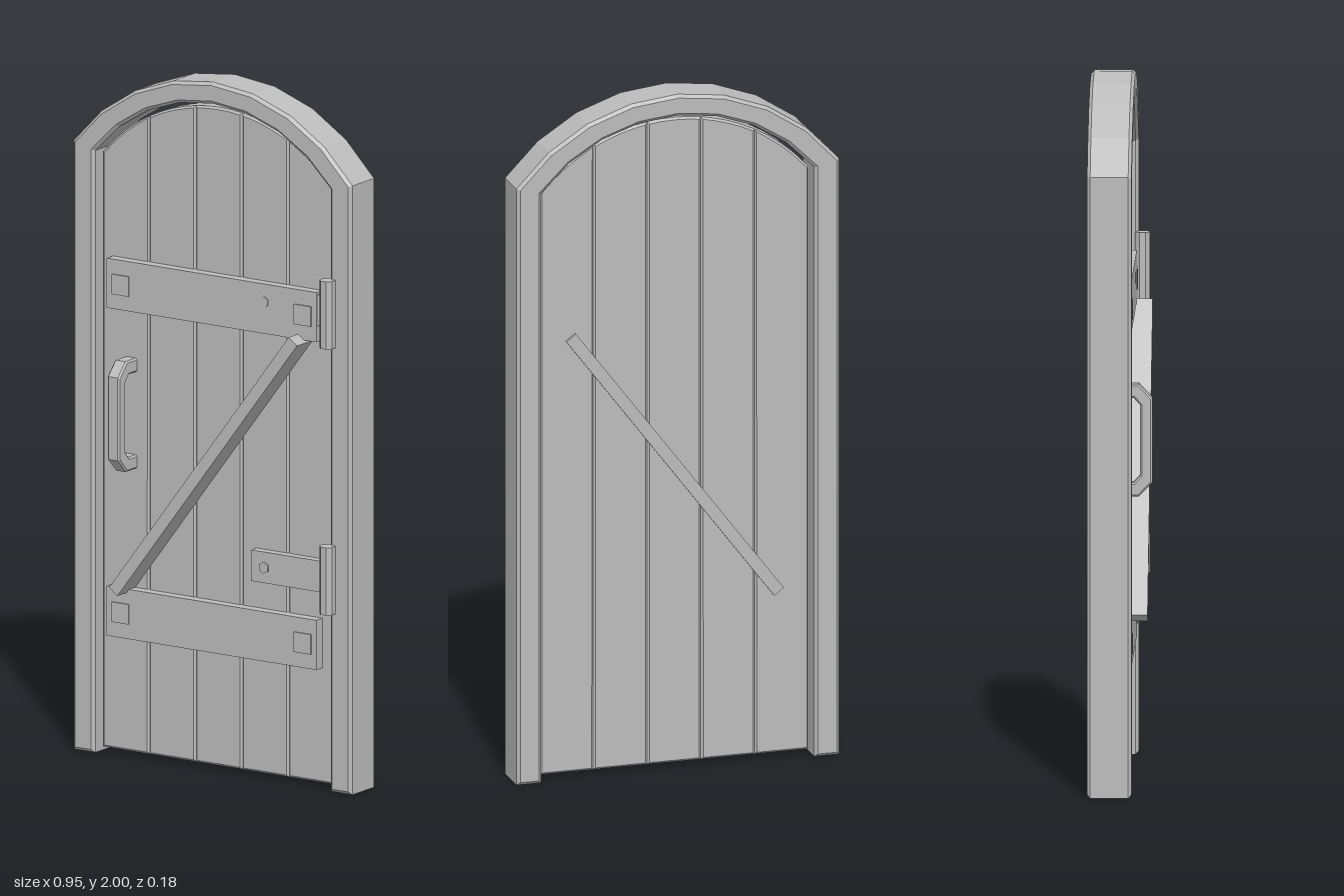
import * as THREE from 'three';

const iron = new THREE.MeshStandardMaterial({ color: 0xbcbcbc });
iron.name = 'plain grey';

// Circular arch from a spring point at (halfWidth, spring) up to the crown
function makeArch(halfWidth, spring, crown) {
  const rise = crown - spring;
  const r = (halfWidth ** 2 + rise ** 2) / (2 * rise);
  return { r, cy: crown - r, half: Math.asin(halfWidth / r), heightAt: x => crown - r + Math.sqrt(r * r - x * x) };
}

// Arch points from right to left
function archPoints(arch, segments) {
  return Array.from({ length: segments + 1 }, (_, i) => {
    const a = arch.half * (1 - (2 * i) / segments);
    return new THREE.Vector2(arch.r * Math.sin(a), arch.cy + arch.r * Math.cos(a));
  });
}

// Extrusion with chamfered edges that stays inside its outline and depth range
function chamfered(points, z0, z1, bevel) {
  const geo = new THREE.ExtrudeGeometry(new THREE.Shape(points), {
    depth: z1 - z0 - 2 * bevel, bevelEnabled: true, bevelSegments: 1,
    bevelSize: bevel, bevelThickness: bevel, bevelOffset: -bevel,
  });
  return geo.translate(0, 0, z0 + bevel);
}

export function createModel() {
  const group = new THREE.Group();
  const add = (name, geo, x = 0, y = 0, z = 0) => {
    const mesh = new THREE.Mesh(geo, iron);
    mesh.name = name;
    mesh.position.set(x, y, z);
    group.add(mesh);
    return mesh;
  };
  // Box given by its limits
  const slab = (name, x0, x1, y0, y1, z0, z1) =>
    add(name, new THREE.BoxGeometry(x1 - x0, y1 - y0, z1 - z0), (x0 + x1) / 2, (y0 + y1) / 2, (z0 + z1) / 2);
  const V = (x, y) => new THREE.Vector2(x, y);

  // Arched frame, open at the bottom
  const outer = archPoints(makeArch(0.475, 1.765, 2), 8);
  const inner = archPoints(makeArch(0.402, 1.745, 1.937), 8).reverse();
  add('frame', chamfered(
    [V(0.475, 0), ...outer, V(-0.475, 0), V(-0.402, 0), ...inner, V(0.402, 0)], -0.09, 0.035, 0.009));

  // Five planks cut to the arch
  const doorArch = makeArch(0.396, 1.737, 1.92);
  const pitch = 0.792 / 5;
  for (let i = 0; i < 5; i++) {
    const x0 = -0.396 + i * pitch, x1 = x0 + pitch;
    const top = [0, 1, 2, 3, 4].map(k => {
      const x = x1 - (pitch * k) / 4;
      return V(x, doorArch.heightAt(x));
    });
    add('plank', chamfered([V(x0, 0.012), V(x1, 0.012), ...top], -0.05, 0, 0.006));
  }

  // Cross rails with square bolt heads
  for (const y of [0.418, 1.368]) {
    slab('rail', -0.36, 0.355, y - 0.072, y + 0.072, -0.005, 0.031);
    for (const x of [-0.312, 0.309]) slab('railBolt', x - 0.029, x + 0.029, y - 0.029, y + 0.029, 0.03, 0.035);
  }

  // Diagonal brace running right through the planks
  const brace = add('brace', new THREE.BoxGeometry(1.016, 0.035, 0.135), 0, 0.895, 0.0095);
  brace.rotation.z = Math.atan2(0.81, 0.612);

  // Hinges: strap, hexagonal bolt and knuckle
  for (const y of [0.617, 1.388]) {
    slab('hingeStrap', 0.13, 0.395, y - 0.045, y + 0.045, -0.005, 0.027);
    add('hingeBolt', new THREE.CylinderGeometry(0.017, 0.017, 0.008, 6).rotateX(Math.PI / 2), 0.175, y, 0.029);
    add('hingeKnuckle', new THREE.CylinderGeometry(0.023, 0.023, 0.196, 8).rotateY(Math.PI / 8).toNonIndexed(),
      0.403, y, 0.046).geometry.computeVertexNormals();
  }

  // Pull handle: side profile (z, y) given a width
  const handle = chamfered([
    V(-0.005, 1.155), V(-0.005, 1.115), V(0.038, 1.115), V(0.056, 1.095),
    V(0.056, 0.895), V(0.038, 0.875), V(-0.005, 0.875), V(-0.005, 0.835),
    V(0.052, 0.835), V(0.09, 0.875), V(0.09, 1.115), V(0.052, 1.155),
  ], -0.021, 0.021, 0.005);
  add('handle', handle.rotateY(-Math.PI / 2), -0.298);

  return group;
}
